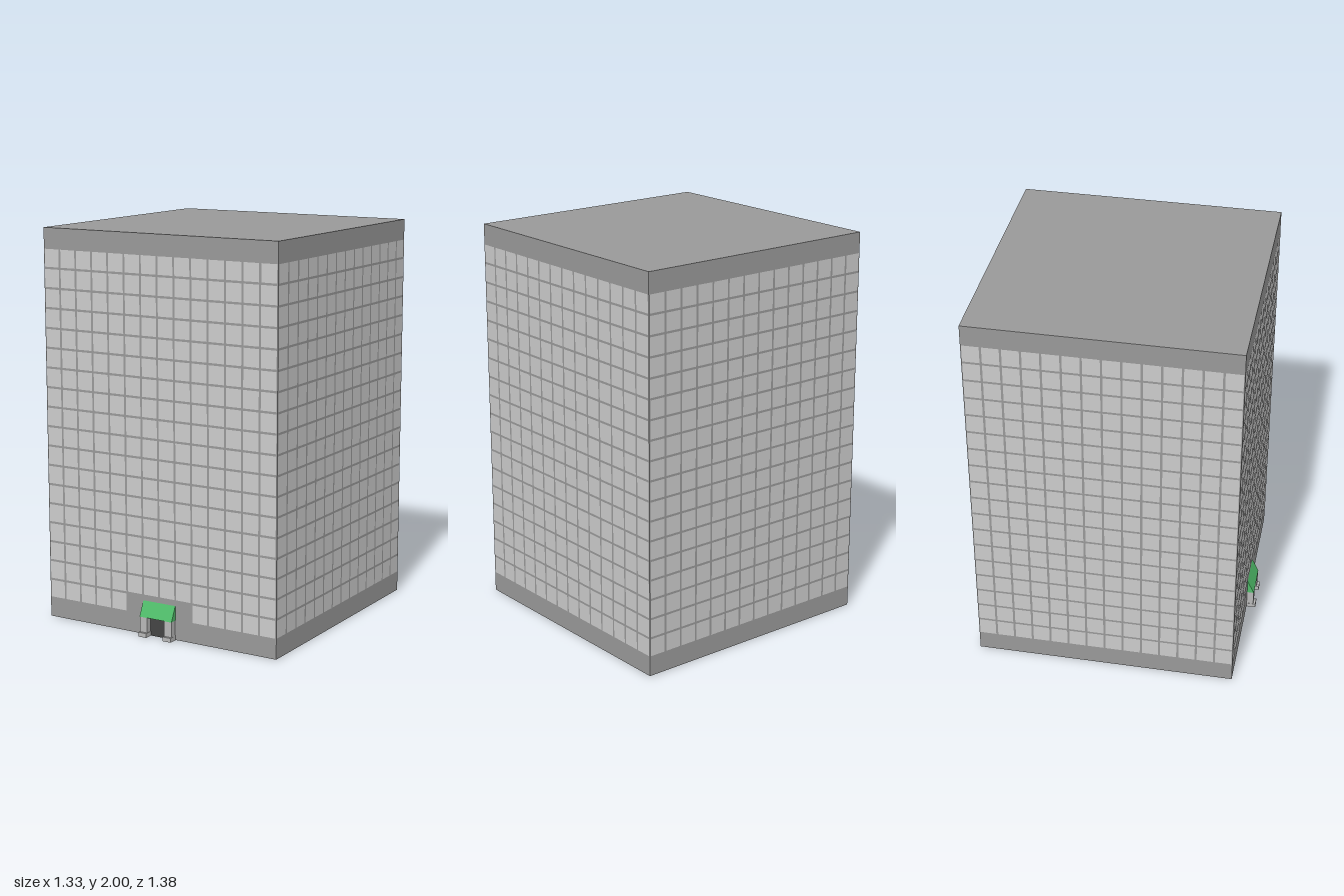
import * as THREE from 'three';
import { mergeGeometries } from 'three/addons/utils/BufferGeometryUtils.js';

const SIDE = 1.33, HALF = SIDE / 2, CENTRE_Z = -0.024, FRONT = CENTRE_Z + HALF;
const COLUMNS = 14, ROWS = 18, ROW_HEIGHT = 0.1, GAP = 0.011;

const paint = (color) => new THREE.MeshStandardMaterial({ color });
const wall = paint(0x999999), glass = paint(0xcccccc), stone = paint(0xb8b8b8);
const dark = paint(0x444444), green = paint(0x4fbb69);

function add(parent, name, geometry, material) {
  const mesh = new THREE.Mesh(geometry, material);
  mesh.name = name;
  parent.add(mesh);
  return mesh;
}

// Box given by its lower and upper corner
function box(parent, name, material, [x0, y0, z0], [x1, y1, z1]) {
  const mesh = add(parent, name, new THREE.BoxGeometry(x1 - x0, y1 - y0, z1 - z0), material);
  mesh.position.set((x0 + x1) / 2, (y0 + y1) / 2, (z0 + z1) / 2);
  return mesh;
}

// One facade of window panes; the entrance facade leaves out four in the lowest row
function windowGrid(hasEntrance) {
  const pitch = SIDE / COLUMNS, panes = [];
  for (let row = 0; row < ROWS; row++) {
    for (let col = 0; col < COLUMNS; col++) {
      const x = (col - (COLUMNS - 1) / 2) * pitch;
      if (hasEntrance && row === 0 && Math.abs(x) < 2 * pitch) continue;
      const pane = new THREE.PlaneGeometry(pitch - GAP, ROW_HEIGHT - GAP);
      panes.push(pane.translate(x, 0.1 + (row + 0.5) * ROW_HEIGHT, HALF + 0.0015));
    }
  }
  return mergeGeometries(panes);
}

export function createModel() {
  const group = new THREE.Group();
  group.name = 'officeTower';

  // Main block
  box(group, 'towerBlock', wall, [-HALF, 0.001, CENTRE_Z - HALF], [HALF, 2, FRONT]);

  // Windows on all four sides
  ['front', 'left', 'back', 'right'].forEach((side, i) => {
    const windows = add(group, side + 'Windows', windowGrid(i === 0), glass);
    windows.position.z = CENTRE_Z;
    windows.rotation.y = i * Math.PI / 2;
  });

  // Entrance: door, posts on footings, sloping awning
  const entrance = new THREE.Group();
  entrance.name = 'entrance';
  group.add(entrance);
  box(entrance, 'door', dark, [-0.05, 0, FRONT - 0.01], [0.05, 0.1, FRONT + 0.003]);
  for (const s of [-1, 1]) {
    const x = s * 0.0715;
    box(entrance, 'post', stone, [x - 0.0215, 0, FRONT], [x + 0.0215, 0.1, 0.676]);
    box(entrance, 'footing', stone, [x - 0.023, 0, FRONT], [x + 0.023, 0.022, 0.688]);
  }
  const profile = new THREE.Shape([[0, 0.1], [0.036, 0.1], [0, 0.175]].map(([z, y]) => new THREE.Vector2(-z, y)));
  const awning = add(entrance, 'awning',
    new THREE.ExtrudeGeometry(profile, { depth: 0.188, bevelEnabled: false }), green);
  awning.rotation.y = Math.PI / 2;
  awning.position.set(-0.094, 0, FRONT);

  // Flat pads let into the underside: x, z, width, depth
  [[0.19, -0.645, 0.2, 0.08], [0.145, -0.22, 0.11, 0.17], [0.137, 0.31, 0.09, 0.09],
    [-0.344, 0.31, 0.09, 0.09], [-0.154, 0.5, 0.09, 0.09]].forEach(([x, z, w, d], i) =>
    box(group, 'basePad', i === 4 ? stone : glass, [x - w / 2, 0, z - d / 2], [x + w / 2, 0.004, z + d / 2]));

  return group;
}
